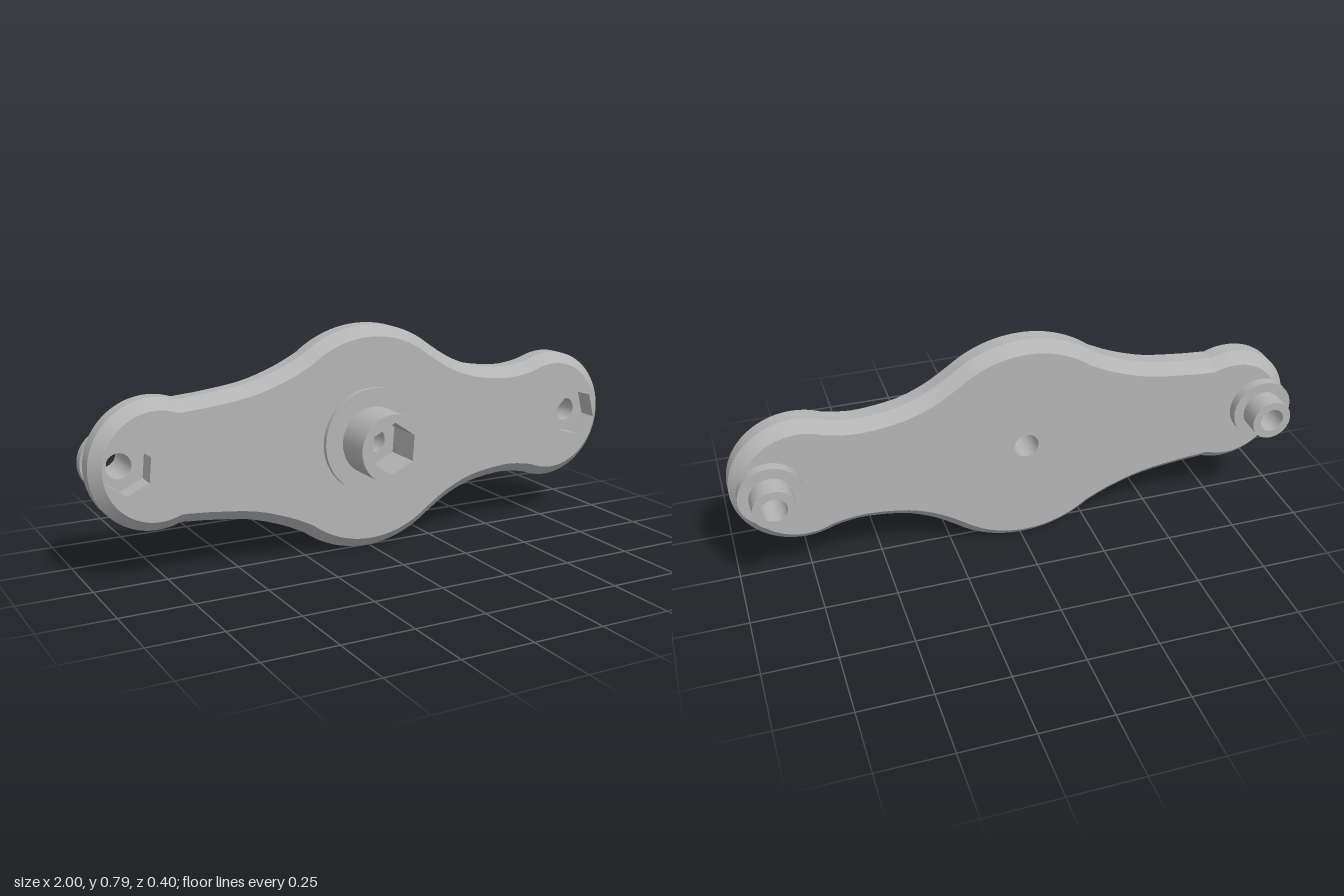
import * as THREE from 'three';

const CY = 0.397;                 // height of the long axis
const FRONT = 0.04, BACK = -0.087, BEVEL = 0.037;
const BORE = 0.043;

const metal = new THREE.MeshStandardMaterial({ color: 0xb4b4b4, side: THREE.DoubleSide });
metal.name = 'grey metal';

const v2 = (x, y) => new THREE.Vector2(x, y);

// Points of an arc around (cx, CY)
function arc(cx, r, a0, a1, n) {
  return Array.from({ length: n + 1 }, (_, i) => {
    const a = a0 + (a1 - a0) * i / n;
    return v2(cx + r * Math.cos(a), CY + r * Math.sin(a));
  });
}

// Counter-clockwise plate outline: two end lobes, a central disc and soft waists
function plateOutline() {
  const lobeR = 1.985, lobeL = 1.197;
  const upper = [
    ...arc(0.763, 0.235, 0, lobeR, 28),
    ...new THREE.SplineCurve([v2(0.668, 0.612), v2(0.62, 0.602), v2(0.545, 0.597), v2(0.42, 0.614),
      v2(0.32, 0.653), v2(0.235, 0.707)]).getPoints(20).slice(1, -1),
    ...arc(-0.01, 0.395, 0.905, Math.PI - 0.905, 28),
    ...new THREE.SplineCurve([v2(-0.255, 0.707), v2(-0.34, 0.667), v2(-0.46, 0.629), v2(-0.6, 0.61),
      v2(-0.66, 0.605), v2(-0.7, 0.602)]).getPoints(20).slice(1, -1),
    ...arc(-0.78, 0.22, lobeL, Math.PI, 28),
  ];
  const lower = upper.slice(1, -1).reverse().map(p => v2(p.x, 2 * CY - p.y));
  return [...upper, ...lower];
}

// Move the outline inwards along its normals
function inset(points, d) {
  const n = points.length;
  return points.map((p, i) => {
    const t = points[(i + 1) % n].clone().sub(points[(i + n - 1) % n]).normalize();
    return v2(p.x - t.y * d, p.y + t.x * d);
  });
}

// Smooth band between two outlines at different depths
function band(a, za, b, zb) {
  const n = a.length, pos = [], idx = [];
  for (let i = 0; i < n; i++) {
    const j = (i + 1) % n;
    pos.push(a[i].x, a[i].y, za, b[i].x, b[i].y, zb);
    idx.push(2 * i, 2 * j, 2 * i + 1, 2 * j, 2 * j + 1, 2 * i + 1);
  }
  const g = new THREE.BufferGeometry();
  g.setAttribute('position', new THREE.Float32BufferAttribute(pos, 3));
  g.setIndex(idx);
  g.computeVertexNormals();
  return g;
}

const circle = (x, r) => arc(x, r, 0, Math.PI * 2, 48).slice(0, -1);
const hexagon = (x, r, a) => arc(x, r, a, a + Math.PI * 2, 6).slice(0, -1);

// Flat face with holes, looking forwards or backwards
function face(outline, holes, z, backwards = false) {
  const s = new THREE.Shape(outline);
  s.holes = holes.map(h => new THREE.Path(h));
  const g = new THREE.ShapeGeometry(s);
  if (backwards) {
    const ix = g.index.array;
    for (let i = 0; i < ix.length; i += 3) [ix[i], ix[i + 1]] = [ix[i + 1], ix[i]];
    g.computeVertexNormals();
  }
  return g.translate(0, 0, z);
}

// Open wall running along z, round or hexagonal
function wall(x, r, z0, z1, sides = 48, angle = 0) {
  let g = new THREE.CylinderGeometry(r, r, z1 - z0, sides, 1, true, angle + Math.PI / 2);
  g.rotateX(Math.PI / 2).translate(x, CY, (z0 + z1) / 2);
  if (sides === 6) {
    g = g.toNonIndexed();
    g.computeVertexNormals();
  }
  return g;
}

function part(name, geometries) {
  const group = new THREE.Group();
  group.name = name;
  geometries.forEach((g, i) => {
    const m = new THREE.Mesh(g, metal);
    m.name = name + 'Surface' + (i + 1);
    group.add(m);
  });
  return group;
}

export function createModel() {
  const model = new THREE.Group();
  model.name = 'lobedArm';

  const hub = -0.011;
  const ends = [
    { name: 'right', x: -0.889, hexX: -0.879, hexR: 0.084, angle: 1.47 },
    { name: 'left', x: 0.87, hexX: 0.87, hexR: 0.09, angle: 1.82 },
  ];

  // Plate with chamfered edges
  const outer = plateOutline(), inner = inset(outer, BEVEL);
  const hexes = ends.map(e => hexagon(e.hexX, e.hexR, e.angle));
  model.add(part('plate', [
    band(inner, BACK, outer, BACK + BEVEL),
    band(outer, BACK + BEVEL, outer, FRONT - BEVEL),
    band(outer, FRONT - BEVEL, inner, FRONT),
    face(inner, [circle(hub, 0.11), ...hexes], FRONT),
    face(inner, [circle(hub, BORE), ...ends.map(e => circle(e.x, BORE))], BACK, true),
  ]));

  // Central boss with collar, hexagonal socket and through bore
  const socket = hexagon(hub, 0.09, 1.5);
  model.add(part('centralBoss', [
    wall(hub, 0.183, FRONT, 0.058),
    face(circle(hub, 0.183), [circle(hub, 0.119)], 0.058),
    wall(hub, 0.119, 0.058, 0.198),
    face(circle(hub, 0.119), [socket], 0.198),
    wall(hub, 0.09, 0.06, 0.198, 6, 1.5),
    face(socket, [circle(hub, BORE)], 0.06),
    wall(hub, BORE, BACK, 0.06),
  ]));

  // End sockets in front, stepped bosses behind
  ends.forEach((e, i) => {
    const floor = -0.03, step = -0.122, tip = -0.198;
    model.add(part(e.name + 'Socket', [
      wall(e.hexX, e.hexR, floor, FRONT, 6, e.angle),
      face(hexes[i], [circle(e.x, BORE)], floor),
    ]));
    model.add(part(e.name + 'BackBoss', [
      face(circle(e.x, 0.109), [circle(e.x, BORE)], BACK - 0.0005),
      wall(e.x, 0.109, step, BACK),
      face(circle(e.x, 0.109), [circle(e.x, 0.072)], step, true),
      wall(e.x, 0.072, tip, step),
      face(circle(e.x, 0.072), [circle(e.x, BORE)], tip, true),
      wall(e.x, BORE, tip, floor),
    ]));
  });

  return model;
}
